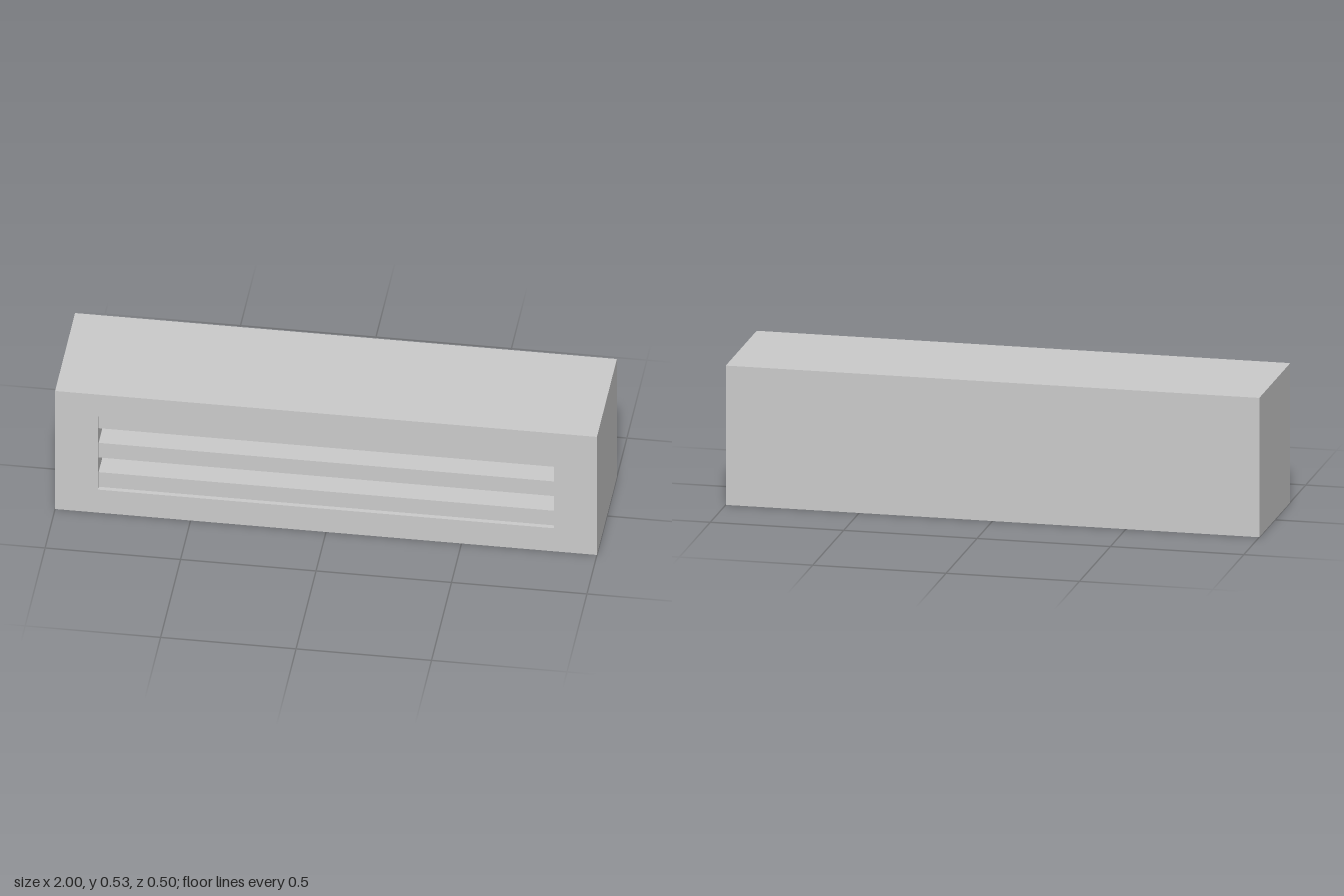
import * as THREE from 'three';

const W = 2, H = 0.527, D = 0.5;                            // housing
const OW = 1.684, OY0 = 0.103, OY1 = 0.43, BACK = -0.15;    // vent opening and its depth
const RECESS = 0.018, SLATS = 3;

const material = new THREE.MeshStandardMaterial({ color: 0xcccccc });

function add(group, name, geometry, x = 0, y = 0, z = 0) {
  const mesh = new THREE.Mesh(geometry, material);
  mesh.name = name;
  mesh.position.set(x, y, z);
  group.add(mesh);
}

// Box without its front face; inward = true turns the faces to the inside
function openBox(w, h, d, inward) {
  const geometry = new THREE.BoxGeometry(w, h, d);
  const index = Array.from(geometry.index.array);
  index.splice(24, 6);
  if (inward) index.reverse();
  geometry.setIndex(index);
  geometry.clearGroups();
  geometry.computeVertexNormals();
  return geometry;
}

function rectangle(target, w, y0, y1) {
  target.moveTo(-w / 2, y0);
  target.lineTo(w / 2, y0);
  target.lineTo(w / 2, y1);
  target.lineTo(-w / 2, y1);
  target.closePath();
  return target;
}

export function createModel() {
  const group = new THREE.Group();
  group.name = 'ventUnit';

  // Outer housing: sides, top, bottom and back
  add(group, 'housing', openBox(W, H, D, false), 0, H / 2, 0);

  // Front panel with the rectangular opening
  const panel = rectangle(new THREE.Shape(), W, 0, H);
  panel.holes.push(rectangle(new THREE.Path(), OW, OY0, OY1));
  add(group, 'frontPanel', new THREE.ShapeGeometry(panel), 0, 0, D / 2);

  // Cavity walls behind the opening
  const depth = D / 2 - BACK;
  add(group, 'cavity', openBox(OW, OY1 - OY0, depth, true), 0, (OY0 + OY1) / 2, BACK + depth / 2);

  // Horizontal slats, with gaps of the same height between them
  const pitch = (OY1 - OY0) / (2 * SLATS - 1);
  const slatDepth = depth - RECESS;
  for (let i = 0; i < SLATS; i++) {
    add(group, 'slat', new THREE.BoxGeometry(OW, pitch, slatDepth),
      0, OY0 + pitch * (2 * i + 0.5), BACK + slatDepth / 2);
  }
  return group;
}
